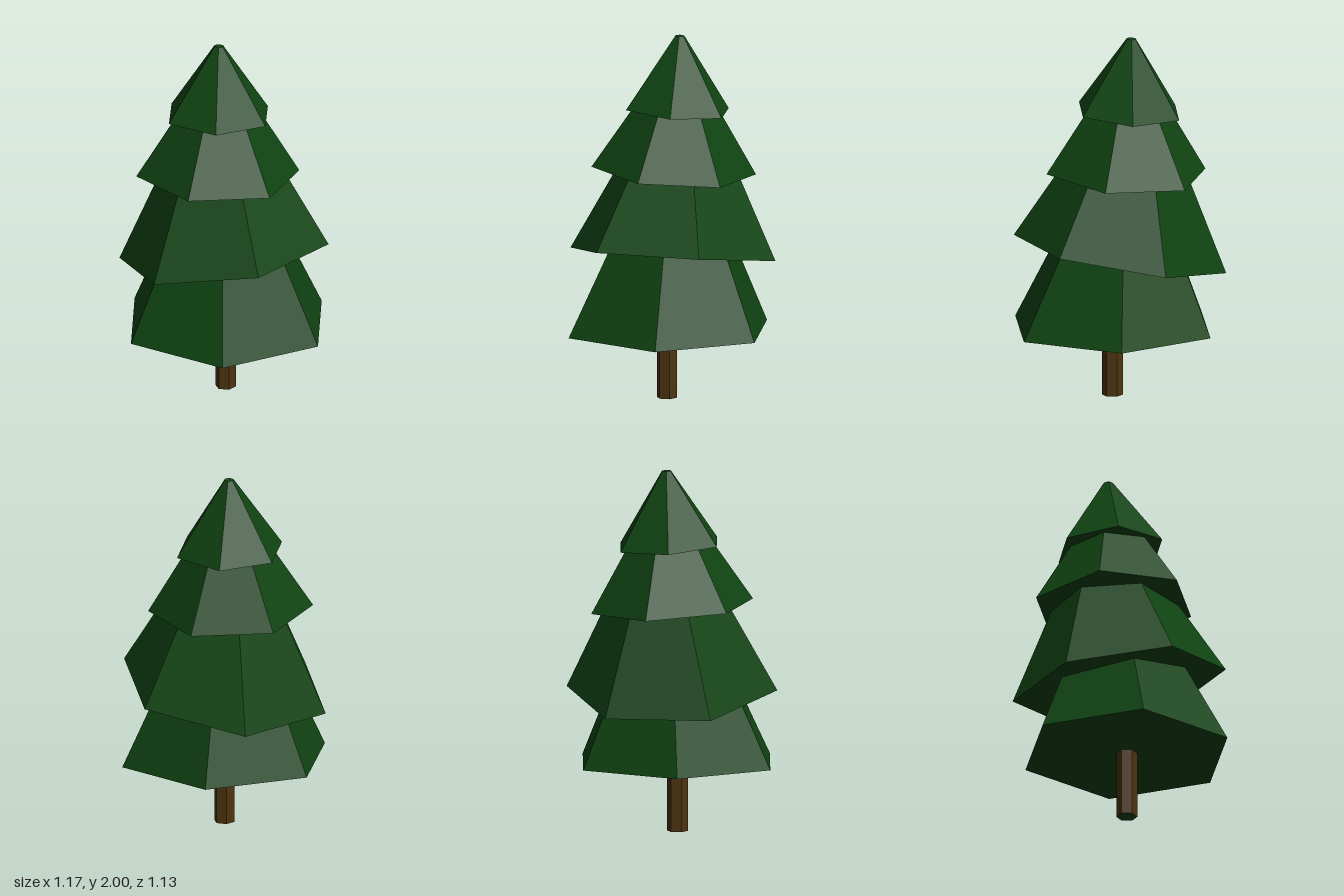
import * as THREE from 'three';

const foliage = new THREE.MeshStandardMaterial({ color: 0x104412, flatShading: true });
foliage.name = 'foliage green';
const bark = new THREE.MeshStandardMaterial({ color: 0x4d3410, flatShading: true });
bark.name = 'bark brown';

// Six-sided prism; phase is the angle of one corner, from +x towards +z.
function hexPrism(radius, phase) {
  const geo = new THREE.CylinderGeometry(radius, radius, 1, 6, 1);
  geo.rotateY(THREE.MathUtils.degToRad(30 - phase));
  return geo;
}

// Leaning tier: a tilted hexagon base whose corners run part of the way to an apex.
function makeTier({ name, centre, radius, phase, tilt, apex, cut }) {
  const geo = hexPrism(radius, phase);
  const pos = geo.attributes.position;
  const tip = new THREE.Vector3(...apex);
  const v = new THREE.Vector3();
  for (let i = 0; i < pos.count; i++) {
    v.fromBufferAttribute(pos, i);
    const isTop = v.y > 0;
    v.set(
      centre[0] + v.x,
      centre[1] + tilt[0] * v.x + tilt[1] * v.z,
      centre[2] + v.z
    );
    if (isTop) v.lerp(tip, cut);
    pos.setXYZ(i, v.x, v.y, v.z);
  }
  geo.computeVertexNormals();
  const mesh = new THREE.Mesh(geo, foliage);
  mesh.name = name;
  return mesh;
}

export function createModel() {
  const tree = new THREE.Group();
  tree.name = 'pineTree';

  // Trunk, with a green underside
  const trunkGeo = hexPrism(0.057, -10);
  trunkGeo.scale(1, 0.4, 1);
  trunkGeo.translate(0.005, 0.2, 0.012);
  const trunk = new THREE.Mesh(trunkGeo, [bark, bark, foliage]);
  trunk.name = 'trunk';
  tree.add(trunk);

  // Branch tiers, from the ground up
  const tiers = [
    { name: 'bottomTier', centre: [0.007, 0.38, 0.007], radius: 0.588, phase: 10.9,
      tilt: [0, 0], apex: [-0.04, 1.62, -0.045], cut: 0.5 },
    { name: 'lowerMiddleTier', centre: [-0.018, 0.791, -0.023], radius: 0.58, phase: -9.9,
      tilt: [0.176, 0.069], apex: [-0.098, 1.91, -0.096], cut: 0.52 },
    { name: 'upperMiddleTier', centre: [-0.057, 1.249, -0.03], radius: 0.449, phase: 30,
      tilt: [0, 0.064], apex: [-0.057, 1.966, -0.064], cut: 0.6 },
    { name: 'topTier', centre: [-0.061, 1.59, -0.05], radius: 0.303, phase: 11.6,
      tilt: [0.014, 0.064], apex: [-0.065, 2.038, -0.065], cut: 0.912 },
  ];
  for (const tier of tiers) tree.add(makeTier(tier));

  return tree;
}
